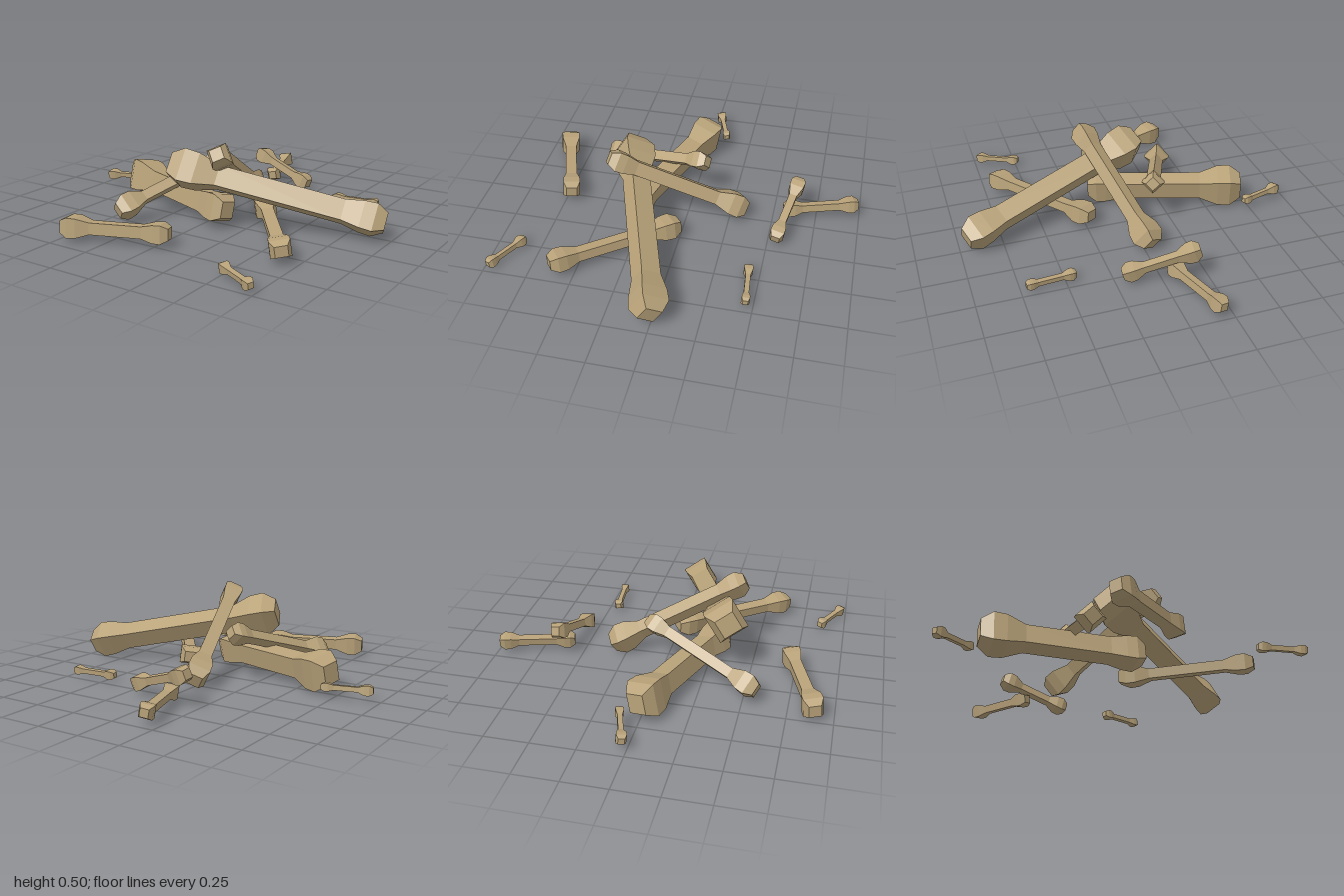
import * as THREE from 'three';

// One bone: square sections lofted from tip to tip, with a faceted knob at each end.
// w0, w1 are the knob widths, ws the shaft width, h the height ratio, roll in degrees.
function boneGeometry(a, b, w0, ws, w1, roll, h = 1) {
  const start = new THREE.Vector3(...a);
  const dir = new THREE.Vector3(...b).sub(start);
  const length = dir.length();
  dir.normalize();
  const side = new THREE.Vector3(0, 1, 0).cross(dir).normalize();
  side.applyAxisAngle(dir, THREE.MathUtils.degToRad(roll));
  const up = dir.clone().cross(side);

  // [distance from the tip, width] for both ends
  const knob = (w) => [[0, 0.62 * w], [0.4 * w, w], [0.85 * w, 0.96 * w], [1.5 * w, ws]];
  const rings = [
    ...knob(w0),
    ...knob(w1).reverse().map(([d, w]) => [length - d, w]),
  ];

  const corners = [[-1, -1], [1, -1], [1, 1], [-1, 1]];
  const positions = [];
  for (const [d, w] of rings) {
    for (const [x, y] of corners) {
      const p = start.clone().addScaledVector(dir, d)
        .addScaledVector(side, x * w / 2)
        .addScaledVector(up, y * w * h / 2);
      positions.push(p.x, p.y, p.z);
    }
  }

  const index = [];
  for (let r = 0; r < rings.length - 1; r++) {
    for (let k = 0; k < 4; k++) {
      const i = r * 4 + k, j = r * 4 + (k + 1) % 4;
      index.push(i, j, j + 4, i, j + 4, i + 4);
    }
  }
  const e = (rings.length - 1) * 4;
  index.push(0, 2, 1, 0, 3, 2, e, e + 1, e + 2, e, e + 2, e + 3);

  const indexed = new THREE.BufferGeometry();
  indexed.setAttribute('position', new THREE.Float32BufferAttribute(positions, 3));
  indexed.setIndex(index);
  const geometry = indexed.toNonIndexed();
  geometry.computeVertexNormals();
  return geometry;
}

export function createModel() {
  const group = new THREE.Group();
  group.name = 'bonePile';
  const bone = new THREE.MeshStandardMaterial({ name: 'agedBone', color: 0xb8a279, flatShading: true });

  const bones = [
    // Large bones stacked in the middle
    ['largeTopBone', [-0.165, 0.34, 0.377], [0.959, 0.098, -0.007], 0.185, 0.115, 0.155, -30],
    ['largeLowerBone', [-0.715, 0.125, -0.01], [0.16, 0.11, 0.3], 0.165, 0.105, 0.135, -12, 1.12],
    ['leaningLeftBone', [-0.39, 0.085, 0.575], [-0.12, 0.295, -0.09], 0.115, 0.06, 0.095, 45],
    ['leaningMiddleBone', [-0.035, 0.06, -0.335], [0.17, 0.455, 0.42], 0.13, 0.078, 0.11, 27],
    ['flatRightBone', [0.22, 0.085, 0.01], [0.69, 0.085, 0.63], 0.12, 0.068, 0.11, 8, 0.85],
    // Medium bones around the pile
    ['frontBone', [-0.5, 0.075, 0.9], [0.07, 0.08, 0.705], 0.11, 0.065, 0.1, -5],
    ['backBone', [-0.19, 0.075, -0.985], [-0.06, 0.07, -0.56], 0.075, 0.045, 0.075, 10],
    ['backCrossedBone', [-0.2, 0.19, -0.63], [0.21, 0.06, -0.545], 0.085, 0.045, 0.08, -10],
    // Small scattered bones
    ['smallBackBone', [0.44, 0.043, -0.435], [0.72, 0.045, -0.46], 0.05, 0.028, 0.045, -5],
    ['smallFrontBone', [0.485, 0.045, 0.85], [0.73, 0.042, 0.975], 0.05, 0.028, 0.05, 8],
    ['smallSideBone', [-0.965, 0.07, -0.02], [-0.7, 0.075, -0.105], 0.055, 0.028, 0.045, 6],
  ];
  for (const [name, ...shape] of bones) {
    const mesh = new THREE.Mesh(boneGeometry(...shape), bone);
    mesh.name = name;
    group.add(mesh);
  }
  return group;
}
